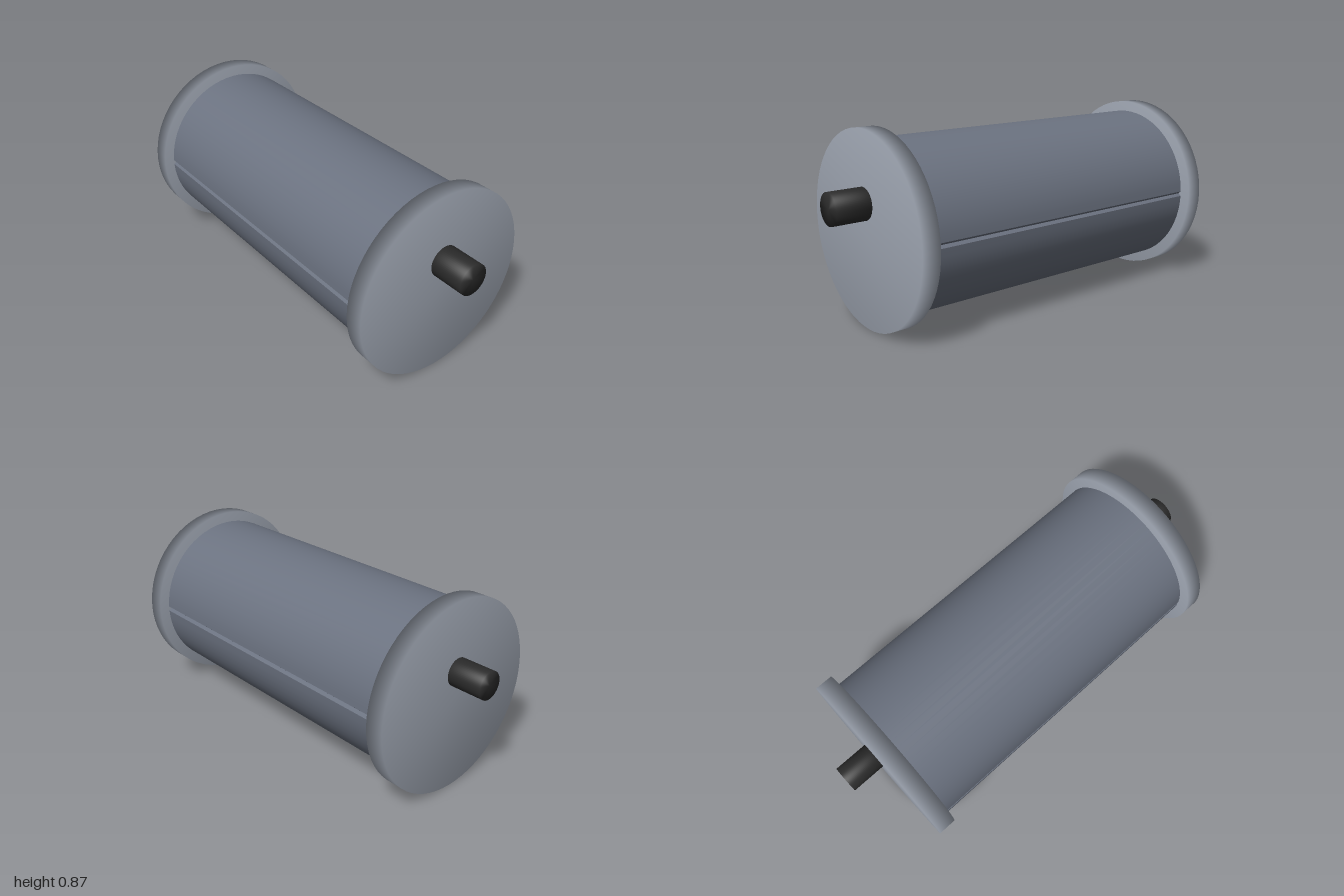
import * as THREE from 'three';
import { toCreasedNormals } from 'three/addons/utils/BufferGeometryUtils.js';

const AXIS_Y = 0.437;

const shellGrey = new THREE.MeshStandardMaterial({ color: 0x6b7280 });
shellGrey.name = 'shell grey';
const flangeGrey = new THREE.MeshStandardMaterial({ color: 0x9ca3af });
flangeGrey.name = 'flange grey';
const shaftBlack = new THREE.MeshStandardMaterial({ color: 0x2b2b2b });
shaftBlack.name = 'shaft black';

// Smooth-shaded closed disc or rod lying along x, from x0 to x1
function rod(name, r, x0, x1, y, material) {
  const profile = [[0, x0], [r, x0], [r, x1], [0, x1]].map(p => new THREE.Vector2(...p));
  const geometry = new THREE.LatheGeometry(profile, 64);
  geometry.rotateZ(-Math.PI / 2);
  const mesh = new THREE.Mesh(geometry, material);
  mesh.name = name;
  mesh.position.y = y;
  return mesh;
}

// Drum with a shallow V seam along its front and back
function drum(r, length) {
  const points = [];
  const steps = 32;
  const seam = 0.03;
  for (const start of [0, Math.PI]) {
    points.push(new THREE.Vector2(Math.cos(start), Math.sin(start)).multiplyScalar(r - 0.014));
    for (let i = 0; i <= steps; i++) {
      const a = start + seam + (Math.PI - 2 * seam) * i / steps;
      points.push(new THREE.Vector2(Math.cos(a), Math.sin(a)).multiplyScalar(r));
    }
  }
  const solid = new THREE.ExtrudeGeometry(new THREE.Shape(points), { depth: length, bevelEnabled: false });
  solid.translate(0, 0, -length / 2).rotateY(Math.PI / 2);
  const mesh = new THREE.Mesh(toCreasedNormals(solid, 0.4), shellGrey);
  mesh.name = 'drum';
  mesh.position.y = AXIS_Y;
  return mesh;
}

export function createModel() {
  const model = new THREE.Group();
  model.name = 'drum with shafts';
  model.add(drum(0.387, 1.52));

  // End flanges
  model.add(rod('leftFlange', AXIS_Y, 0.755, 0.84, AXIS_Y, flangeGrey));
  model.add(rod('rightFlange', AXIS_Y, -0.84, -0.755, AXIS_Y, flangeGrey));

  // Off-centre shafts, the left one slightly thicker
  model.add(rod('leftShaft', 0.072, 0.83, 1, 0.557, shaftBlack));
  model.add(rod('rightShaft', 0.063, -1, -0.83, 0.557, shaftBlack));
  return model;
}
